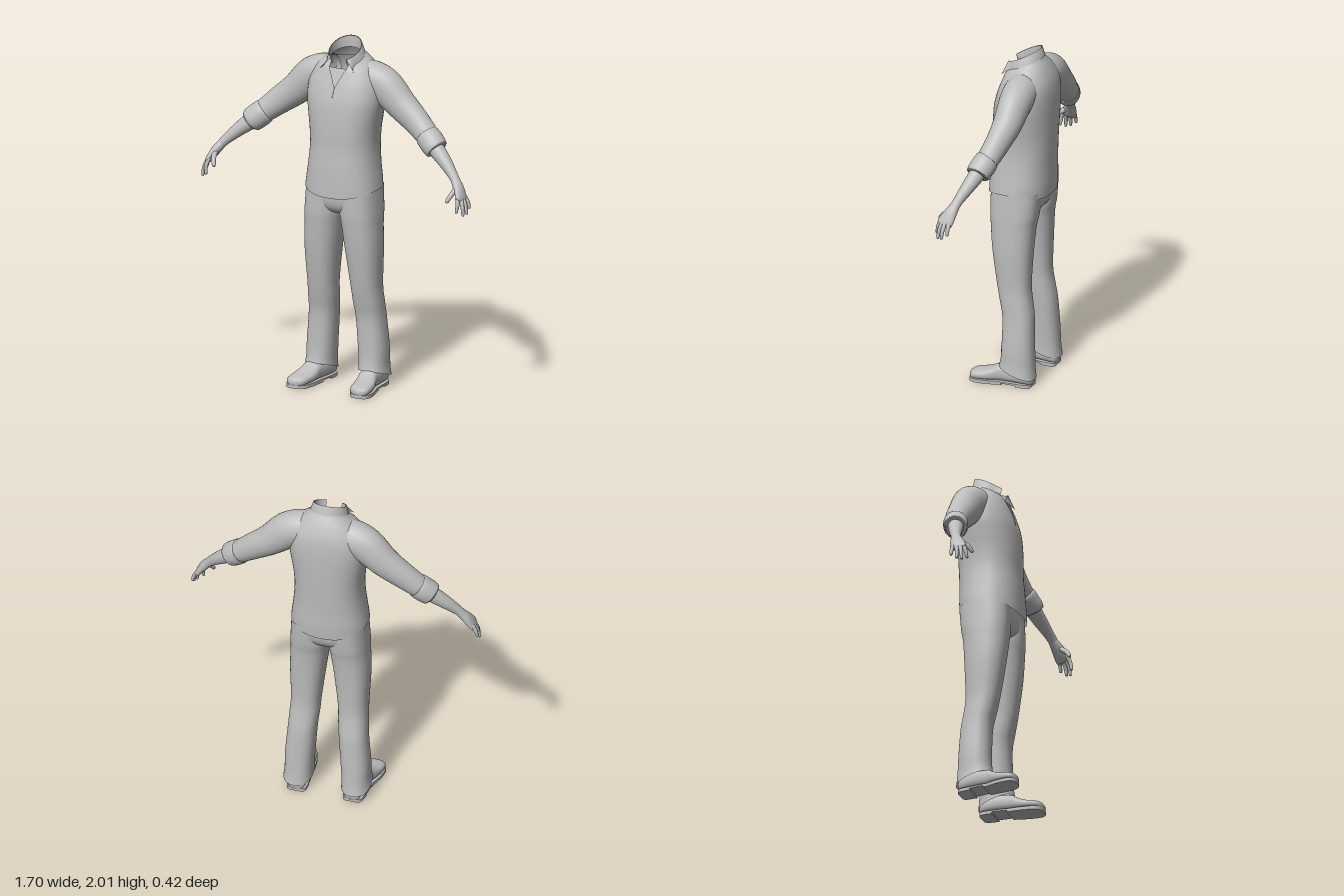
import * as THREE from 'three';
import { mergeVertices } from 'three/addons/utils/BufferGeometryUtils.js';

const V = (x, y, z) => new THREE.Vector3(x, y, z);
const clayGrey = new THREE.MeshStandardMaterial({ color: 0xbdbdbd, side: THREE.DoubleSide });
clayGrey.name = 'clay grey';

// Skin a surface over rings that all have the same number of points
function loft(rings) {
  const n = rings[0].length, pos = [], index = [];
  rings.forEach(r => r.forEach(p => pos.push(p.x, p.y, p.z)));
  for (let i = 0; i < rings.length - 1; i++) {
    for (let j = 0; j < n - 1; j++) {
      const a = i * n + j, b = a + 1, c = a + n, d = c + 1;
      index.push(a, b, c, b, d, c);
    }
  }
  let g = new THREE.BufferGeometry();
  g.setAttribute('position', new THREE.Float32BufferAttribute(pos, 3));
  g.setIndex(index);
  g = mergeVertices(g, 1e-5);
  g.computeVertexNormals();
  return g;
}

// Catmull-Rom interpolation between rows of numbers
function smooth(rows, steps = 4) {
  const out = [], last = rows.length - 1;
  const at = i => rows[Math.max(0, Math.min(last, i))];
  for (let k = 0; k <= last * steps; k++) {
    const i = Math.min(last - 1, Math.floor(k / steps)), t = k / steps - i;
    const [p, q, r, s] = [at(i - 1), at(i), at(i + 1), at(i + 2)];
    out.push(q.map((_, c) => q[c] + 0.5 * t * (r[c] - p[c] +
      t * (2 * p[c] - 5 * q[c] + 4 * r[c] - s[c] + t * (3 * (q[c] - r[c]) + s[c] - p[c])))));
  }
  return out;
}

const pw = (v, e) => Math.sign(v) * Math.pow(Math.abs(v), 2 / e);

// Horizontal section; row: y, half width, z front, z back, roundness, centre x, tilt, side arch
function section([y, hw, zf, zb, e, cx = 0, tilt = 0, arch = 0], gap = 0, n = 48) {
  const ring = [], zc = (zf + zb) / 2, hz = (zf - zb) / 2;
  const g = Math.pow(Math.min(1, gap / hw), e / 2);
  const start = Math.asin(g);
  for (let j = 0; j <= n; j++) {
    const f = start + (2 * Math.PI - 2 * start) * j / n;
    const dz = hz * pw(Math.cos(f), e);
    ring.push(V(cx + hw * pw(Math.sin(f), e), y - tilt * dz + arch * Math.sin(f) ** 2, zc + dz));
  }
  return ring;
}
const stack = (rows, gapAt = () => 0) => loft(smooth(rows).map(r => section(r, gapAt(r[0]))));

// Limb along a path; row: x, y, z, radius in the front plane, radius in depth
function limb(rows, steps = 4, n = 24) {
  const s = smooth(rows, steps), P = s.map(r => V(r[0], r[1], r[2]));
  return loft(s.map((r, i) => {
    const t = P[Math.min(i + 1, P.length - 1)].clone().sub(P[Math.max(i - 1, 0)]).normalize();
    const v = V(0, 0, 1).addScaledVector(t, -t.z).normalize();
    const u = v.clone().cross(t);
    return Array.from({ length: n + 1 }, (_, j) => {
      const f = 2 * Math.PI * j / n;
      return P[i].clone().addScaledVector(u, r[3] * Math.cos(f)).addScaledVector(v, r[4] * Math.sin(f));
    });
  }));
}

function add(group, name, geometry) {
  const m = new THREE.Mesh(geometry, clayGrey);
  m.name = name;
  group.add(m);
  return m;
}

// Shirt body, hem to neck
const torso = [
  [1.125, .22, .157, -.19, 2.4, 0, 0, .04], [1.2, .215, .155, -.195, 2.4, 0, 0, .01],
  [1.3, .203, .15, -.196, 2.4, 0, 0, 0], [1.4, .195, .142, -.2, 2.4, 0, 0, 0],
  [1.5, .2, .14, -.204, 2.4, 0, 0, 0], [1.6, .215, .133, -.207, 2.4, 0, 0, 0],
  [1.68, .225, .122, -.208, 2.4, 0, 0, 0], [1.76, .22, .1, -.205, 2.4, 0, 0, 0],
  [1.82, .2, .08, -.195, 2.3, 0, .02, 0], [1.87, .165, .065, -.172, 2.2, 0, .1, 0],
  [1.905, .12, .05, -.142, 2.1, 0, .3, 0], [1.92, .1, .045, -.13, 2, 0, .4, 0],
];

function buildCollar() {
  const bands = [
    [1.905, .092, .045, -.12, 2, 0, .4], [1.955, .088, .062, -.118, 2, 0, .52],
    [1.957, .093, .068, -.124, 2, 0, .52], [1.91, .109, .064, -.139, 2, 0, .42],
  ];
  const rings = bands.map((b, k) => section(b, k < 2 ? .045 : .05, 64));
  // pull the ends of the outer edge down into collar points
  rings[3].forEach((p, j) => {
    const t = j / 32 - 1;
    p.lerp(V(t < 0 ? .108 : -.108, 1.85, .07), THREE.MathUtils.smoothstep(Math.abs(t), .78, 1));
  });
  return loft(rings);
}

// Shoe; row: z, centre x, half width, bottom, top
const shoeRows = [
  [-.16, .165, 0, .035, .045], [-.152, .165, .035, .014, .07], [-.13, .165, .054, .012, .1],
  [-.05, .17, .058, .012, .12], [.03, .178, .056, .012, .118], [.06, .183, .06, .012, .1],
  [.11, .192, .064, .012, .078], [.17, .2, .06, .012, .066], [.2, .204, .04, .013, .055],
  [.211, .205, 0, .025, .035],
];
function shoeUpper() {
  return loft(smooth(shoeRows).map(([z, cx, hw, y0, y1]) =>
    Array.from({ length: 33 }, (_, j) => {
      const f = 2 * Math.PI * j / 32;
      return V(cx - Math.max(0, hw) * pw(Math.sin(f), 2.5), (y0 + y1) / 2 + (y1 - y0) / 2 * pw(Math.cos(f), 2.5), z);
    })));
}
function solePlate(zMin, zMax, bottom, top) {
  const rows = smooth(shoeRows).filter(r => r[0] >= zMin && r[0] <= zMax);
  const side = s => rows.map(r => new THREE.Vector2(r[1] + s * (Math.max(0, r[2]) + .002), r[0]));
  const shape = new THREE.Shape([...side(1), ...side(-1).reverse()]);
  return new THREE.ExtrudeGeometry(shape, { depth: top - bottom, bevelEnabled: false })
    .rotateX(Math.PI / 2).translate(0, top, 0);
}

function buildSide(side) {
  const g = new THREE.Group();
  g.name = side + 'Limbs';

  // Sleeve and rolled cuff
  add(g, 'sleeve', limb([
    [.1, 1.795, -.07, .1, .09], [.17, 1.785, -.073, .103, .095], [.24, 1.745, -.075, .106, .09],
    [.335, 1.66, -.073, .09, .08], [.435, 1.583, -.06, .078, .068], [.54, 1.498, -.035, .064, .062],
  ], 5, 32));
  add(g, 'cuff', limb([
    [.515, 1.517, -.04, .06, .058], [.52, 1.513, -.038, .071, .068], [.55, 1.488, -.028, .073, .07],
    [.585, 1.459, -.014, .07, .067], [.592, 1.453, -.012, .06, .058], [.585, 1.459, -.014, .04, .04],
  ], 3, 32));

  // Bare forearm and hand
  add(g, 'forearm', limb([
    [.54, 1.495, -.03, .046, .046], [.6, 1.445, -.008, .046, .044], [.665, 1.392, .016, .038, .037],
    [.725, 1.335, .042, .028, .028], [.755, 1.3, .054, .025, .028],
  ]));
  add(g, 'palm', limb([
    [.74, 1.318, .048, .025, .026], [.77, 1.28, .064, .026, .036], [.795, 1.24, .08, .021, .045],
    [.81, 1.215, .09, .014, .043], [.815, 1.205, .092, 0, 0],
  ]));
  const fingers = {
    indexFinger: [[.793, 1.235, .115], [.802, 1.195, .13], [.798, 1.152, .138]],
    middleFinger: [[.803, 1.23, .098], [.823, 1.185, .112], [.83, 1.135, .118]],
    ringFinger: [[.807, 1.23, .08], [.83, 1.185, .089], [.84, 1.14, .092]],
    littleFinger: [[.805, 1.235, .058], [.828, 1.2, .058], [.838, 1.165, .058]],
    thumb: [[.768, 1.275, .08], [.757, 1.243, .125], [.742, 1.208, .148]],
  };
  for (const [name, [a, b, c]] of Object.entries(fingers)) {
    const r = name === 'thumb' ? .014 : .011;
    const end = c.map((v, i) => v + (c[i] - b[i]) * .08);
    add(g, name, limb([[...a, r * 1.15, r * 1.15], [...b, r, r], [...c, r * .7, r * .7], [...end, 0, 0]], 4, 12));
  }

  // Trouser leg, lower hem to waist
  add(g, 'trouserLeg', stack([
    [.078, .083, .042, -.167, 2.4, .17, -.32], [.13, .08, .035, -.16, 2.4, .167, -.2],
    [.23, .082, .03, -.155, 2.4, .163, 0], [.4, .081, .031, -.147, 2.4, .15, 0],
    [.5, .083, .05, -.132, 2.4, .143, 0], [.6, .084, .07, -.122, 2.4, .138, 0],
    [.8, .099, .1, -.13, 2.4, .13, 0], [.95, .107, .115, -.142, 2.4, .118, 0],
    [1.03, .111, .12, -.156, 2.5, .111, 0], [1.17, .106, .12, -.17, 2.5, .106, 0],
  ]));

  // Shoe
  add(g, 'shoeUpper', shoeUpper());
  add(g, 'shoeSole', solePlate(-.155, .209, .01, .02));
  add(g, 'frontSole', solePlate(0, .209, 0, .012));
  add(g, 'heel', solePlate(-.155, -.055, 0, .012));
  if (side === 'right') g.scale.x = -1;
  return g;
}

export function createModel() {
  const model = new THREE.Group();
  model.name = 'headlessFigure';

  // Shirt with an open V neck over an inner layer
  const neckGap = y => THREE.MathUtils.clamp(.05 * (y - 1.755) / .11, 0, .055);
  add(model, 'shirtBody', stack(torso, neckGap));
  add(model, 'innerShirt', stack(torso.slice(5, 10).map(([y, hw, zf, zb, ...rest]) =>
    [y, hw - .012, zf - .012, zb + .012, ...rest])));
  add(model, 'collar', buildCollar());
  const placket = add(model, 'placketSeam', new THREE.BoxGeometry(.005, .065, .006));
  placket.position.set(-.004, 1.727, .11);
  placket.rotation.set(-.27, 0, -.1);

  // Seat of the trousers
  add(model, 'trouserSeat', stack([
    [1.0, .01, -.01, -.03, 2.2], [1.02, .13, .07, -.11, 2.3], [1.05, .19, .105, -.148, 2.4],
    [1.1, .21, .12, -.17, 2.4], [1.18, .208, .122, -.174, 2.4],
  ]));

  model.add(buildSide('left'), buildSide('right'));
  return model;
}
